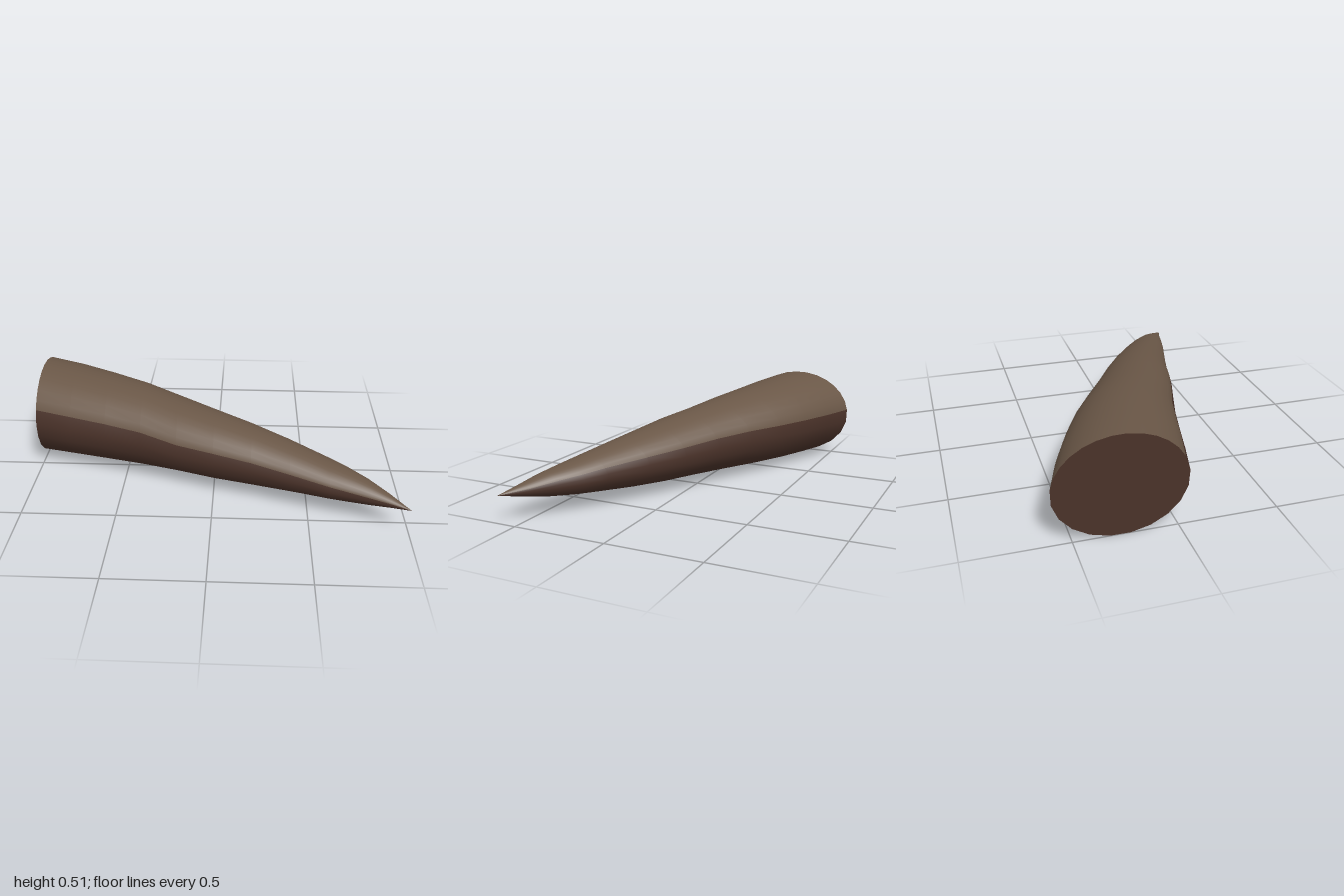
import * as THREE from 'three';

// Cross-sections: x, back z, front z, bottom y, top y, front seam y, back seam y
const SECTIONS = [
  [-1, -0.595, 0.05, 0, 0.515, 0.36, 0.29],
  [-0.8, -0.53, 0.102, 0.007, 0.5, 0.35, 0.29],
  [-0.6, -0.45, 0.15, 0.014, 0.478, 0.337, 0.289],
  [-0.4, -0.358, 0.2, 0.023, 0.455, 0.32, 0.288],
  [-0.2, -0.25, 0.263, 0.035, 0.42, 0.288, 0.286],
  [0, -0.135, 0.325, 0.042, 0.39, 0.276, 0.275],
  [0.2, -0.03, 0.373, 0.05, 0.355, 0.255, 0.259],
  [0.4, 0.085, 0.43, 0.063, 0.315, 0.228, 0.243],
  [0.6, 0.215, 0.49, 0.08, 0.27, 0.2, 0.222],
  [0.7, 0.288, 0.515, 0.089, 0.248, 0.187, 0.207],
  [0.8, 0.375, 0.54, 0.102, 0.222, 0.174, 0.19],
  [0.9, 0.477, 0.565, 0.122, 0.185, 0.16, 0.165],
  [1, 0.595, 0.595, 0.145, 0.145, 0.145, 0.145],
];
const HALF = 12; // segments above and below the seam
const SIDES = HALF * 2;

// One elliptical ring whose vertices 0 and HALF sit on the colour seams
function ring([x, zBack, zFront, yLow, yHigh, seamFront, seamBack]) {
  const cz = (zBack + zFront) / 2, rz = (zFront - zBack) / 2;
  const cy = (yLow + yHigh) / 2, ry = (yHigh - yLow) / 2;
  const angle = (y) => (ry ? Math.asin((y - cy) / ry) : 0);
  const a0 = angle(seamFront), a1 = Math.PI - angle(seamBack);
  return Array.from({ length: SIDES }, (_, i) => {
    const a = i < HALF
      ? a0 + (a1 - a0) * i / HALF
      : a1 + (a0 + 2 * Math.PI - a1) * (i - HALF) / HALF;
    return new THREE.Vector3(x, cy + ry * Math.sin(a), cz + rz * Math.cos(a));
  });
}

// Curved tapering skin, upper half in material 0 and lower half in material 1
function skinGeometry() {
  const points = SECTIONS.flatMap(ring);
  const index = [];
  for (const start of [0, HALF]) {
    for (let r = 0; r < SECTIONS.length - 1; r++) {
      for (let i = start; i < start + HALF; i++) {
        const j = (i + 1) % SIDES;
        const a = r * SIDES + i, b = r * SIDES + j;
        const c = a + SIDES, d = b + SIDES;
        index.push(a, c, b);
        if (r < SECTIONS.length - 2) index.push(c, d, b);
      }
    }
  }
  const geometry = new THREE.BufferGeometry().setFromPoints(points);
  geometry.setIndex(index);
  geometry.addGroup(0, index.length / 2, 0);
  geometry.addGroup(index.length / 2, index.length / 2, 1);
  geometry.computeVertexNormals();
  return geometry;
}

// Flat end closing the thick side
function capGeometry() {
  const rim = ring(SECTIONS[0]);
  const index = [];
  for (let i = 1; i < SIDES - 1; i++) index.push(0, i, i + 1);
  const geometry = new THREE.BufferGeometry().setFromPoints(rim);
  geometry.setIndex(index);
  geometry.computeVertexNormals();
  return geometry;
}

export function createModel() {
  const upper = new THREE.MeshStandardMaterial({ name: 'warm brown', color: 0x6a5747 });
  const lower = new THREE.MeshStandardMaterial({ name: 'dark brown', color: 0x4a3229 });

  const group = new THREE.Group();
  group.name = 'taperedTail';

  const skin = new THREE.Mesh(skinGeometry(), [upper, lower]);
  skin.name = 'tailSkin';
  const cap = new THREE.Mesh(capGeometry(), lower);
  cap.name = 'tailBaseCap';
  group.add(skin, cap);
  return group;
}
